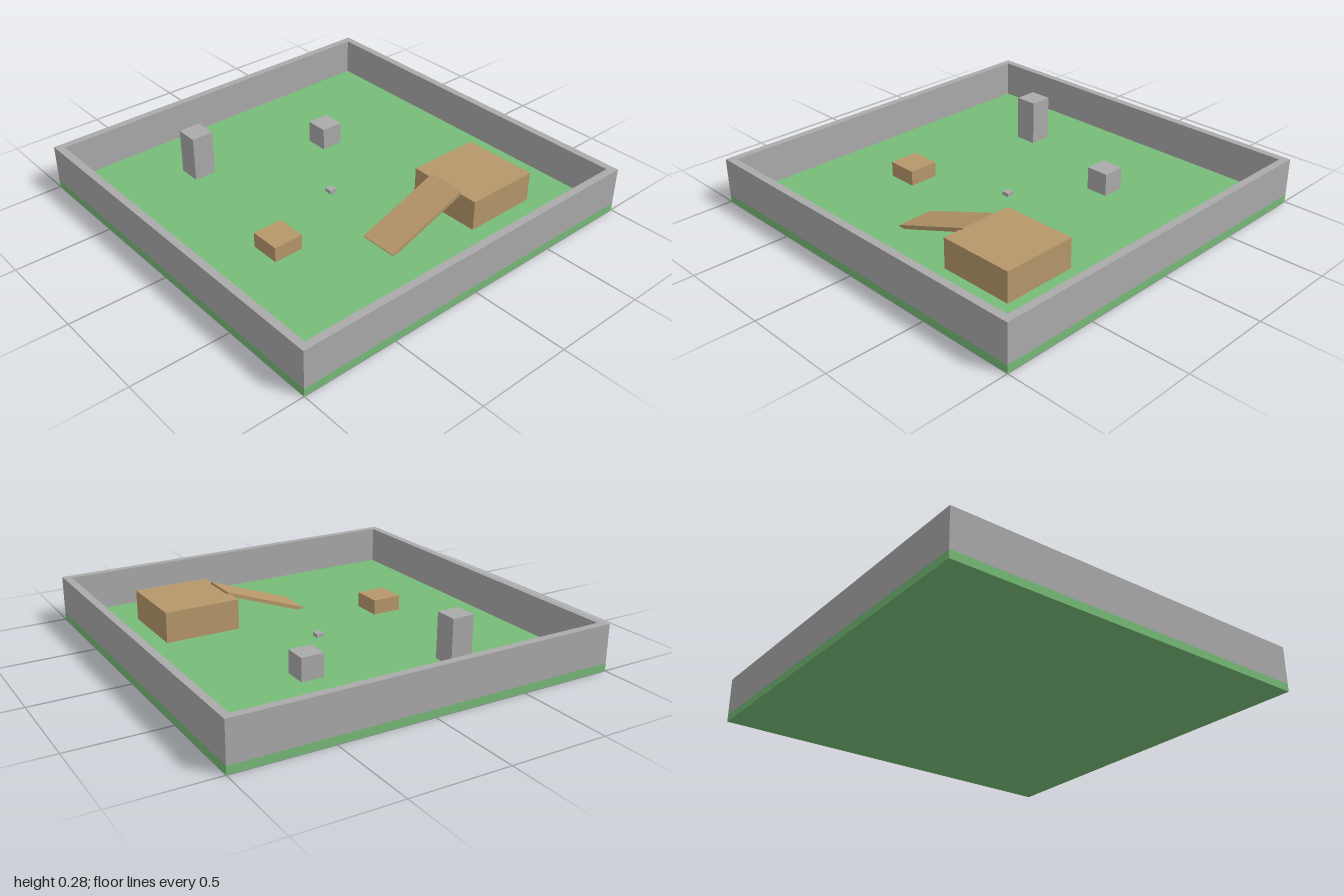
import * as THREE from 'three';

export function createModel() {
  const model = new THREE.Group();
  const material = (name, color) => {
    const m = new THREE.MeshStandardMaterial({ color });
    m.name = name;
    return m;
  };
  const grass = material('grass green', 0x77bb77);
  const stone = material('stone grey', 0xaaaaaa);
  const wood = material('wood brown', 0xb7976a);

  const FLOOR = 0.04; // top of the ground slab

  const add = (name, geometry, mat, x, y, z) => {
    const mesh = new THREE.Mesh(geometry, mat);
    mesh.name = name;
    mesh.position.set(x, y, z);
    model.add(mesh);
    return mesh;
  };
  // Box standing on the ground slab
  const block = (name, mat, x, z, w, h, d) =>
    add(name, new THREE.BoxGeometry(w, h, d), mat, x, FLOOR + h / 2, z);

  // Ground slab
  add('ground', new THREE.BoxGeometry(2, FLOOR, 2), grass, 0, FLOOR / 2, 0);

  // Perimeter wall: a square ring extruded upwards
  const square = (r, Path) =>
    new Path([[-r, -r], [r, -r], [r, r], [-r, r]].map(([x, y]) => new THREE.Vector2(x, y)));
  const ring = square(1, THREE.Shape);
  ring.holes.push(square(0.96, THREE.Path));
  const wall = new THREE.ExtrudeGeometry(ring, { depth: 0.2, bevelEnabled: false });
  wall.rotateX(-Math.PI / 2);
  add('perimeterWall', wall, stone, 0, FLOOR, 0);

  // Stone obstacles
  block('tallPillar', stone, -0.6, 0.4, 0.12, 0.24, 0.12);
  block('shortPillar', stone, -0.4, -0.3, 0.12, 0.12, 0.12);
  block('centreMarker', stone, 0, 0, 0.04, 0.02, 0.04);

  // Wooden platform, crate and ramp
  block('platform', wood, 0.5, -0.5, 0.4, 0.16, 0.4);
  block('crate', wood, 0.2, 0.5, 0.16, 0.08, 0.16);
  const ramp = add('ramp', new THREE.BoxGeometry(0.2, 0.02, 0.48), wood, 0.5, 0.12, -0.09);
  ramp.rotation.x = Math.PI / 9;

  return model;
}
